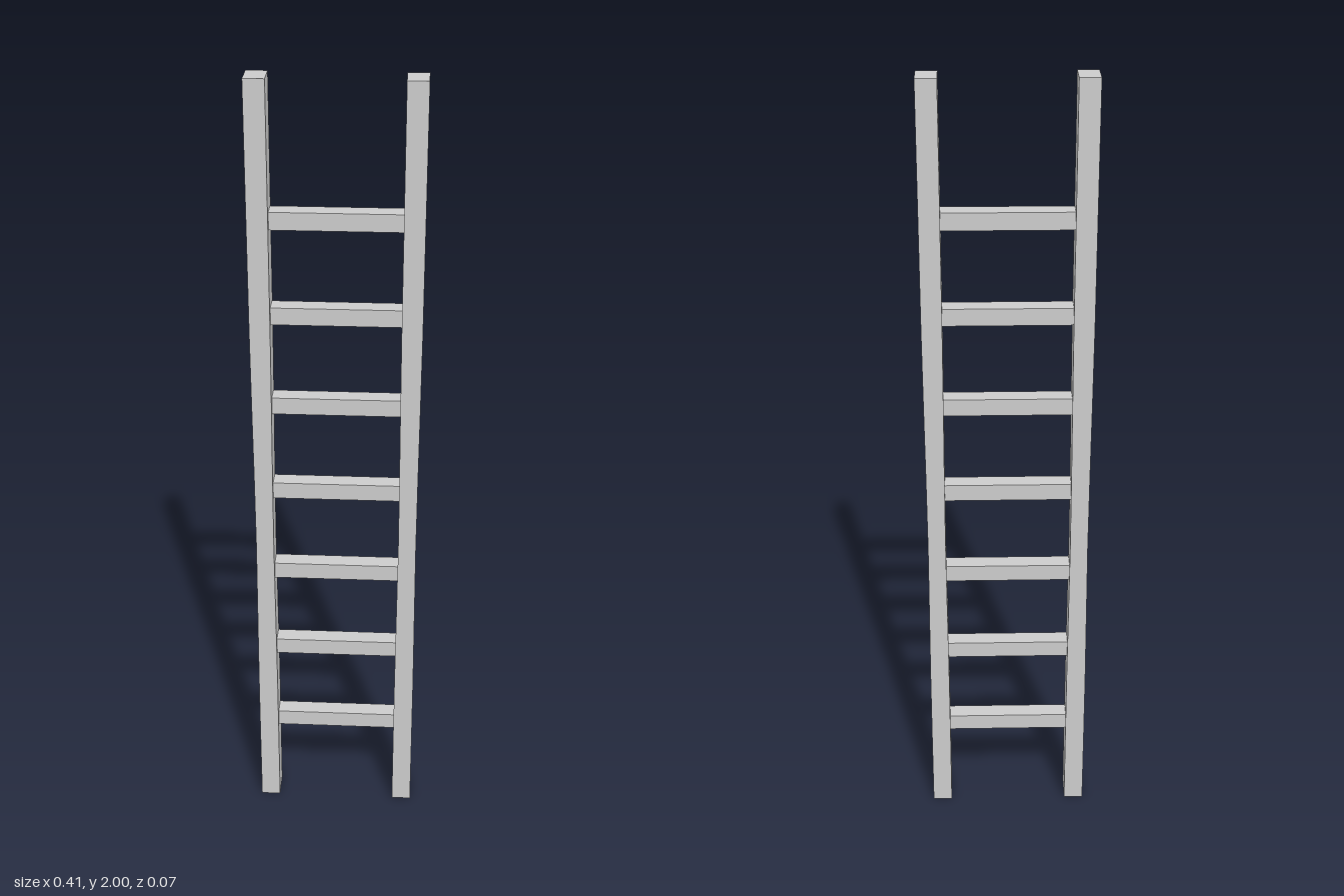
import * as THREE from 'three';

const material = new THREE.MeshStandardMaterial({ color: 0xcccccc, flatShading: true });

// Square post, slightly worn (narrower) around its middle
function createRail(name, x) {
  const height = 2;
  const geometry = new THREE.BoxGeometry(0.05, height, 0.073, 1, 10, 1);
  const pos = geometry.attributes.position;
  for (let i = 0; i < pos.count; i++) {
    const y = pos.getY(i) + height / 2;
    const wear = Math.max(0, 1 - Math.abs(y - 0.85) / 0.5);
    pos.setX(i, pos.getX(i) * (1 - 0.12 * wear));
    pos.setZ(i, pos.getZ(i) * (1 - 0.1 * wear));
  }
  geometry.computeVertexNormals();
  const rail = new THREE.Mesh(geometry, material);
  rail.name = name;
  rail.position.set(x, height / 2, 0);
  return rail;
}

export function createModel() {
  const ladder = new THREE.Group();
  ladder.name = 'ladder';

  // Side rails
  ladder.add(createRail('leftRail', 0.181), createRail('rightRail', -0.181));

  // Evenly spaced rungs, their ends let into the rails
  const rungGeometry = new THREE.BoxGeometry(0.33, 0.043, 0.046);
  for (let i = 0; i < 7; i++) {
    const rung = new THREE.Mesh(rungGeometry, material);
    rung.name = `rung${i + 1}`;
    rung.position.set(0, 0.252 + i * 0.236, -0.002);
    ladder.add(rung);
  }
  return ladder;
}
